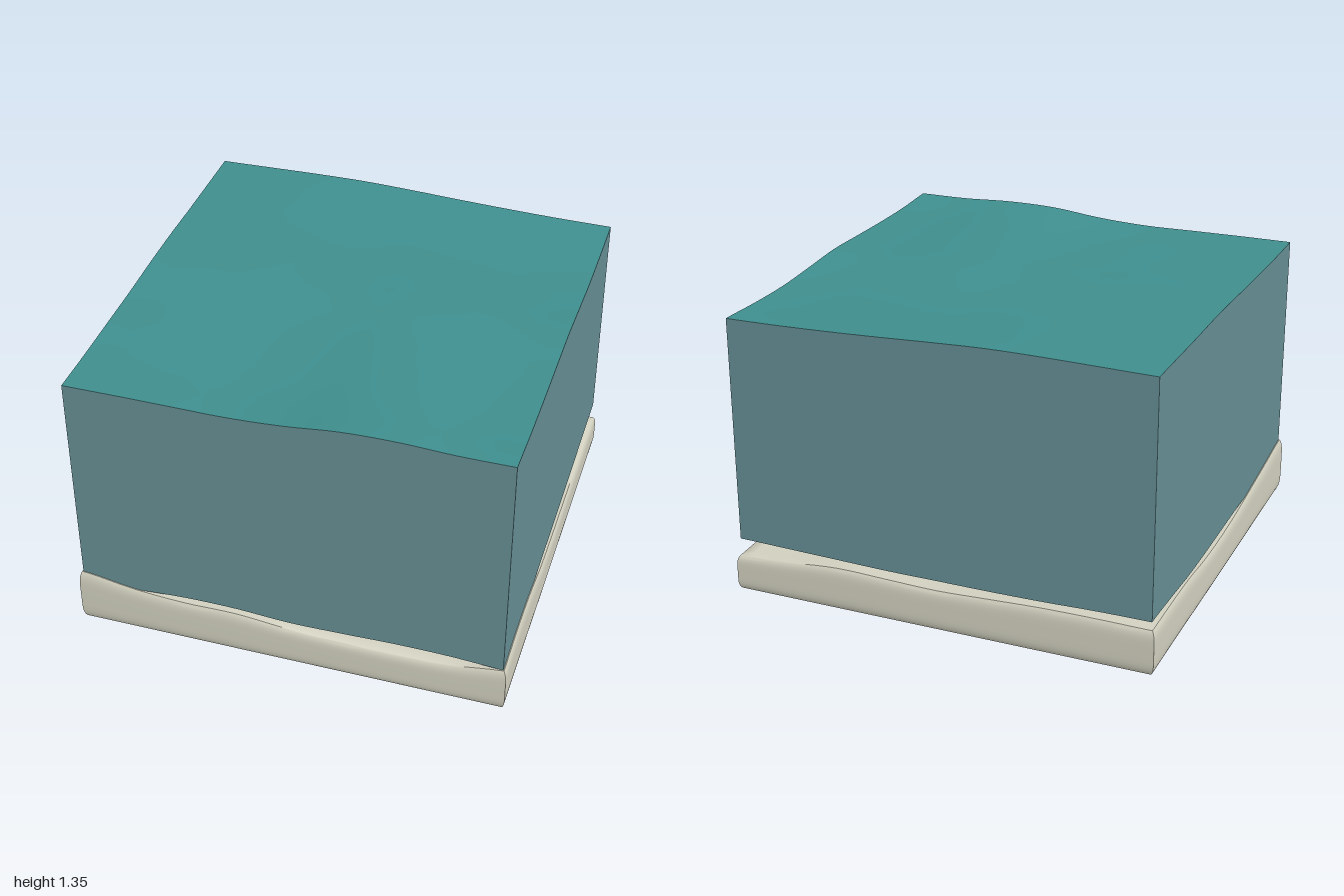
import * as THREE from 'three';
import { mergeVertices, toCreasedNormals } from 'three/addons/utils/BufferGeometryUtils.js';

const material = (name, color, side = THREE.FrontSide) => {
  const m = new THREE.MeshStandardMaterial({ color, side });
  m.name = name;
  return m;
};

// Smooth curve through evenly spaced heights, s in -1..1
function edgeCurve(heights) {
  const curve = new THREE.SplineCurve(heights.map((h, i) => new THREE.Vector2(i, h)));
  return (s) => curve.getPoint(THREE.MathUtils.clamp((s + 1) / 2, 0, 1)).y;
}

// Height field blended from its four edges; u runs left to right, v back to front
function heightField(edges) {
  const f = edgeCurve(edges.front), b = edgeCurve(edges.back);
  const l = edgeCurve(edges.left), r = edgeCurve(edges.right);
  return (u, v) => {
    const s = (u + 1) / 2, t = (v + 1) / 2;
    const corners = (1 - t) * ((1 - s) * b(-1) + s * b(1)) + t * ((1 - s) * f(-1) + s * f(1));
    return (1 - t) * b(u) + t * f(u) + (1 - s) * l(v) + s * r(v) - corners;
  };
}

const waterTop = heightField({
  front: [1.31, 1.31, 1.308, 1.306, 1.318, 1.343, 1.347, 1.336, 1.335],
  back: [1.338, 1.342, 1.346, 1.346, 1.337, 1.325, 1.315, 1.308, 1.305],
  left: [1.338, 1.336, 1.334, 1.335, 1.33, 1.32, 1.315, 1.31, 1.31],
  right: [1.305, 1.297, 1.296, 1.309, 1.324, 1.322, 1.32, 1.323, 1.335],
});
const waterBottom = heightField({
  front: [0.215, 0.225, 0.24, 0.24, 0.225, 0.228, 0.235, 0.233, 0.22],
  back: [0.247, 0.245, 0.238, 0.235, 0.235, 0.235, 0.24, 0.245, 0.25],
  left: [0.247, 0.235, 0.22, 0.215, 0.215, 0.215, 0.21, 0.21, 0.215],
  right: [0.25, 0.243, 0.235, 0.228, 0.22, 0.215, 0.21, 0.212, 0.22],
});
const sandTop = heightField({
  front: [0.27, 0.23, 0.212, 0.213, 0.19, 0.18, 0.178, 0.185, 0.22],
  back: [0.21, 0.212, 0.21, 0.2, 0.19, 0.195, 0.2, 0.18, 0.167],
  left: [0.21, 0.212, 0.208, 0.19, 0.188, 0.2, 0.222, 0.245, 0.27],
  right: [0.167, 0.172, 0.177, 0.18, 0.182, 0.192, 0.228, 0.235, 0.22],
});

const HALF = 0.978; // half width of the water block

// Move every vertex of a geometry by a rule
function reshape(geometry, rule) {
  const p = geometry.attributes.position, v = new THREE.Vector3();
  for (let i = 0; i < p.count; i++) {
    rule(v.fromBufferAttribute(p, i));
    p.setXYZ(i, v.x, v.y, v.z);
  }
  geometry.computeVertexNormals();
  return geometry;
}

function addMesh(parent, name, geometry, mat) {
  const mesh = new THREE.Mesh(geometry, mat);
  mesh.name = name;
  parent.add(mesh);
}

export function createModel() {
  const model = new THREE.Group();
  model.name = 'waterBlock';
  const surfaceTeal = material('surfaceTeal', 0x3f8e8e, THREE.DoubleSide);
  const sideBlue = material('sideBlue', 0x668f95, THREE.DoubleSide);
  const sand = material('sand', 0xd2d1c0);

  // Rippled water surface
  const surface = new THREE.PlaneGeometry(2, 2, 40, 40).rotateX(-Math.PI / 2);
  addMesh(model, 'waterSurface', reshape(surface, (v) => {
    v.set(v.x * HALF, waterTop(v.x, v.z), v.z * HALF);
  }), surfaceTeal);

  // Four water walls, open underneath, with wavy upper and lower edges
  const walls = {
    frontWall: (s) => [s, 1],
    rightWall: (s) => [1, -s],
    backWall: (s) => [-s, -1],
    leftWall: (s) => [-1, s],
  };
  for (const [name, place] of Object.entries(walls)) {
    const wall = reshape(new THREE.PlaneGeometry(2, 2, 40, 1), (v) => {
      const [x, z] = place(v.x);
      v.set(x * HALF, (v.y > 0 ? waterTop : waterBottom)(x, z), z * HALF);
    });
    addMesh(model, name, wall, sideBlue);
  }

  // Sand bed: flat below, uneven above, with softly bulging sides
  const bed = new THREE.BoxGeometry(2, 2, 2, 40, 14, 40);
  reshape(bed, (v) => {
    const t = Math.sin(v.y * Math.PI / 2); // rows gather near the rims
    const half = 0.995 - 0.013 * Math.pow(Math.abs(t), 6);
    v.set(v.x * half, sandTop(v.x, v.z) * (t + 1) / 2, v.z * half);
  });
  bed.deleteAttribute('uv');
  bed.deleteAttribute('normal');
  addMesh(model, 'sandBed', toCreasedNormals(mergeVertices(bed), 0.9), sand);

  return model;
}
